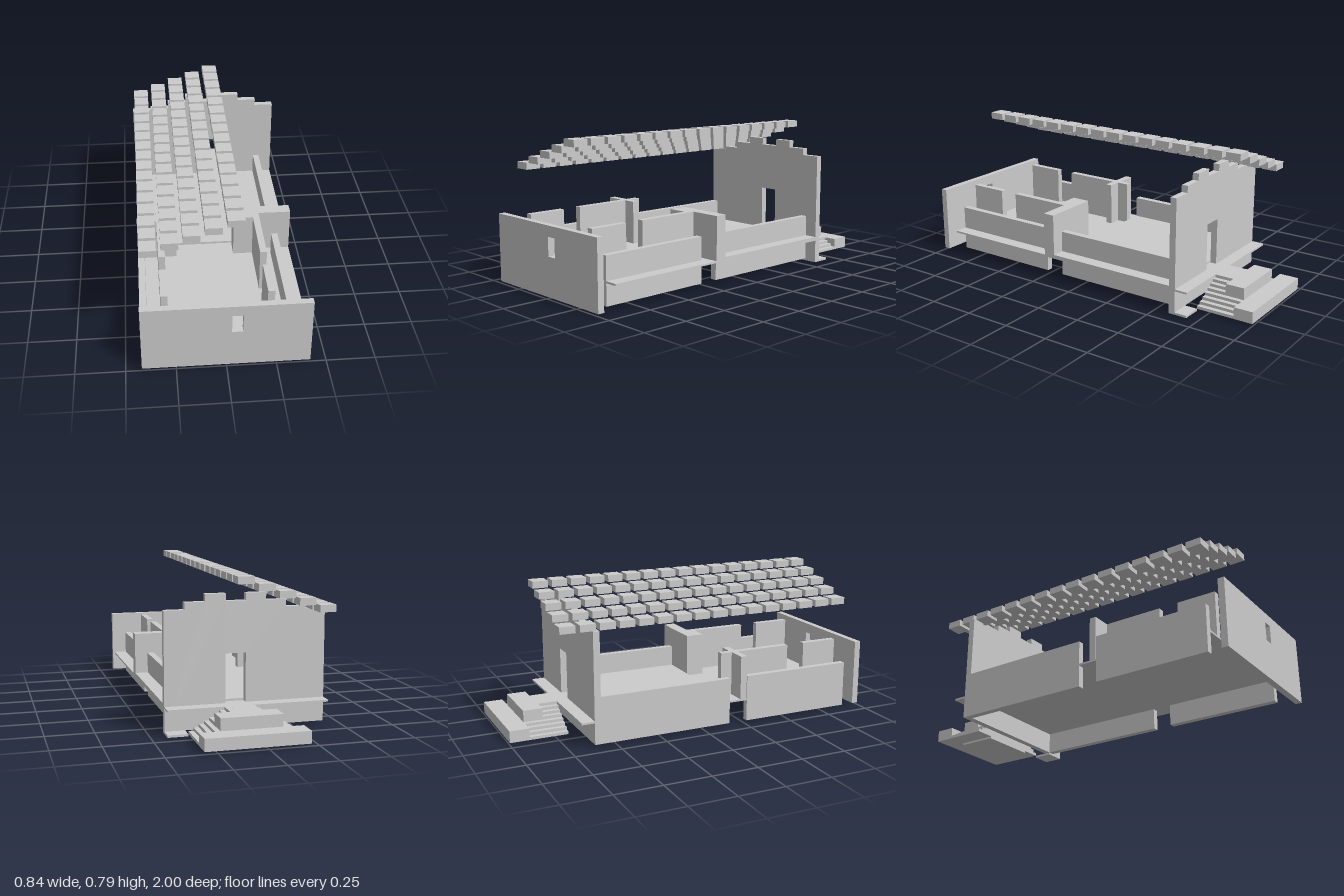
import * as THREE from 'three';

const material = new THREE.MeshStandardMaterial({ color: 0xcccccc, flatShading: true });

export function createModel() {
  const model = new THREE.Group();

  // Box given by its limits on each axis
  function box(name, [x0, x1], [y0, y1], [z0, z1], parent = model) {
    const mesh = new THREE.Mesh(new THREE.BoxGeometry(x1 - x0, y1 - y0, z1 - z0), material);
    mesh.position.set((x0 + x1) / 2, (y0 + y1) / 2, (z0 + z1) / 2);
    mesh.name = name;
    parent.add(mesh);
    return mesh;
  }

  // Upright wall panel with a rectangular opening
  function panel(name, outline, [x0, x1], [y0, y1], [z0, z1]) {
    const shape = new THREE.Shape(outline.map(([x, y]) => new THREE.Vector2(x, y)));
    shape.holes.push(new THREE.Path([[x0, y0], [x0, y1], [x1, y1], [x1, y0]].map(([x, y]) => new THREE.Vector2(x, y))));
    const geometry = new THREE.ExtrudeGeometry(shape, { depth: z1 - z0, bevelEnabled: false });
    geometry.translate(0, 0, z0);
    const mesh = new THREE.Mesh(geometry, material);
    mesh.name = name;
    model.add(mesh);
  }

  const M = 0.105;          // building module
  const LOW = 0.012, FLOOR = 0.138, SILL = 0.264, HIGH = 0.377;

  // Front wall with window
  panel('frontWall', [[-0.42, LOW], [0.42, LOW], [0.42, HIGH], [-0.42, HIGH]],
    [0.025, 0.08], [0.22, 0.32], [0.965, 1]);

  // Stepped back wall with doorway
  const tops = [0.605, 0.618, 0.655, 0.693, 0.655, 0.693, 0.655, 0.618];
  const gable = [[-0.42, LOW], [0.42, LOW]];
  for (let i = 7; i >= 0; i--) {
    gable.push([-0.42 + (i + 1) * M, tops[i]], [-0.42 + i * M, tops[i]]);
  }
  panel('backWall', gable, [0, M], [FLOOR, 0.392], [-0.615, -0.58]);

  // Floor slabs; the right and back edges form outer ledges
  box('frontFloor', [-0.42, 0.42], [0.128, FLOOR], [0.16, 0.895]);
  box('rearFloor', [-0.42, 0.42], [0.128, 0.15], [-0.58, 0.16]);
  box('backLedge', [-0.42, 0.42], [0.128, FLOOR], [-0.685, -0.615]);

  // Long outer walls, broken by a side entrance
  for (const x of [[-0.42, -0.385], [0.313, 0.348]]) {
    for (const z of [[-0.58, 0.16], [0.265, 0.895]]) box('sideWall', x, [LOW, SILL], z);
  }

  // Inner walls with doorways
  for (const [x, start] of [[-0.315, 0.16], [0.21, 0.16]]) {
    box('innerWall', [x, x + 0.035], [FLOOR, HIGH], [start, 0.58]);
    box('innerWall', [x, x + 0.035], [FLOOR, HIGH], [0.685, 0.895]);
  }
  box('crossWallNegativeX', [-0.42, -0.21], [FLOOR, HIGH], [0.225, 0.262]);
  box('crossWallPositiveX', [0.245, 0.42], [FLOOR, HIGH], [0.16, 0.225]);
  box('pier', [0.105, 0.21], [FLOOR, HIGH], [0.16, 0.262]);

  // Rear double staircase
  const stairs = new THREE.Group();
  stairs.name = 'stairs';
  model.add(stairs);
  const mid = 0.0525, rise = 0.0157, tread = M / 4;
  box('lowerPlatform', [-0.21, 0.315], [LOW, 0.075], [-1, -0.895], stairs);
  box('stairBase', [-0.105, 0.21], [0, 0.075], [-0.895, -0.685], stairs);
  box('parapet', [-0.105, 0.21], [0.075, FLOOR], [-0.895, -0.79], stairs);
  box('landing', [0, M], [0.075, FLOOR], [-0.79, -0.685], stairs);
  for (const side of [-1, 1]) {
    for (let k = 0; k < 4; k++) {
      const flight = (name, outer, base, z) => {
        const a = mid + side * (outer - k * tread), b = mid + side * (outer - (k + 1) * tread);
        box(name, [Math.min(a, b), Math.max(a, b)], [base, base + rise * (k + 1)], z, stairs);
      };
      flight('lowerStep', 2.5 * M, LOW, [-0.895, -0.685]);
      flight('upperStep', 1.5 * M, 0.075, [-0.79, -0.685]);
    }
  }
  box('groundSlab', [0.315, 0.42], [0, LOW], [-0.685, -0.58]);

  // Roof tiles in five rising rows
  const roof = new THREE.Group();
  roof.name = 'roofTiles';
  model.add(roof);
  for (let i = 0; i < 5; i++) {
    for (let j = 0; j < 16; j++) {
      const x = -0.411 + i * M, y = 0.605 + i * 0.0378, z = 0.798 - j * 0.1055;
      box('roofTile', [x, x + 0.084], [y, y + 0.037], [z, z + 0.084], roof);
    }
  }
  return model;
}
